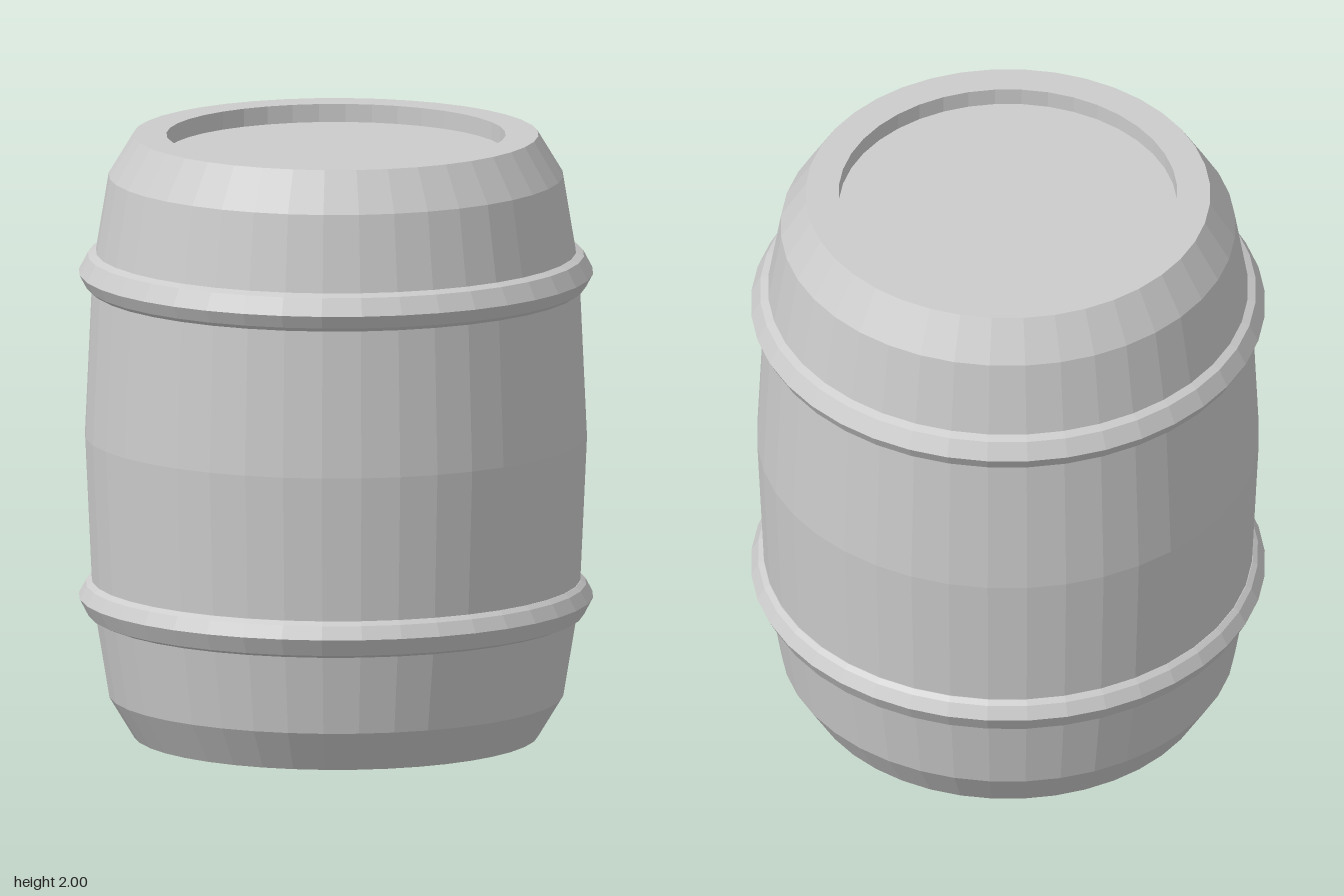
import * as THREE from 'three';

const SIDES = 40;
const material = new THREE.MeshStandardMaterial({ color: 0xcccccc, flatShading: true });

// Revolve a [radius, height] profile, listed bottom to top on the outside
function lathe(name, profile) {
  const points = profile.map(([r, y]) => new THREE.Vector2(r, y));
  const mesh = new THREE.Mesh(new THREE.LatheGeometry(points, SIDES), material);
  mesh.name = name;
  return mesh;
}

export function createModel() {
  const barrel = new THREE.Group();
  barrel.name = 'barrel';

  // Closed body: flat base, bulging staves, chamfered ends
  barrel.add(lathe('body', [
    [0, 0], [0.665, 0], [0.747, 0.135], [0.8, 0.455], [0.825, 1],
    [0.8, 1.545], [0.747, 1.865], [0.665, 2], [0.557, 2],
  ]));

  // Recessed lid: short inner wall down to the flat floor
  barrel.add(lathe('lid', [[0.557, 2], [0.557, 1.94], [0, 1.94]]));

  // Two bevelled hoops, mirrored about the middle
  const hoop = [[0.775, 1.485], [0.805, 1.487], [0.822, 1.5], [0.845, 1.543], [0.815, 1.6], [0.785, 1.613]];
  barrel.add(lathe('upperHoop', hoop));
  barrel.add(lathe('lowerHoop', hoop.map(([r, y]) => [r, 2.007 - y]).reverse()));

  return barrel;
}
